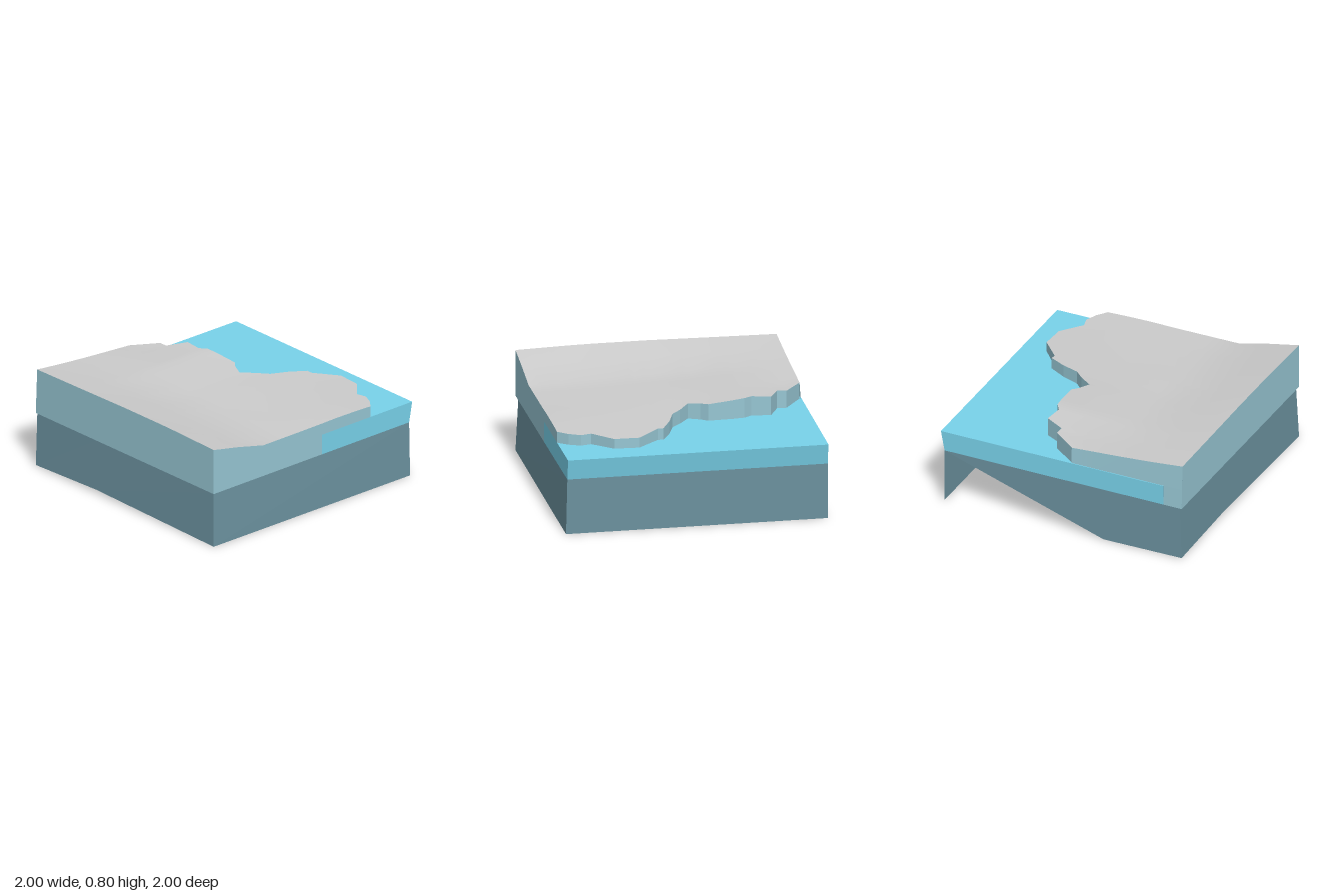
import * as THREE from 'three';

const GREY = 0xcccccc, CLIFF = 0x97c6d3, WATER = 0x78d2ea, BASE = 0x6b919e;
const SEA = 0.59, BED = 0.43;

// Coast outline seen from above: x, z
const SHORE = [
  [-0.985, 0.08], [-0.85, -0.11], [-0.78, -0.105], [-0.705, -0.255], [-0.56, -0.235],
  [-0.5, -0.275], [-0.42, -0.285], [-0.22, -0.295], [-0.17, -0.255], [-0.08, -0.215],
  [0, -0.32], [0.07, -0.39], [0.12, -0.53], [0.19, -0.66], [0.23, -0.655], [0.4, -0.805],
  [0.59, -0.795], [0.74, -0.66], [0.82, -0.68], [0.91, -0.64], [0.985, -0.58],
];

// Ground heights on a coarse grid, back to front
const GX = [-1, -0.5, 0, 0.5, 1];
const GZ = [-0.8, -0.3, 0, 0.5, 0.75, 1];
const GY = [
  [0.7, 0.72, 0.68, 0.665, 0.67],
  [0.73, 0.745, 0.7, 0.69, 0.685],
  [0.71, 0.74, 0.71, 0.69, 0.68],
  [0.745, 0.735, 0.71, 0.7, 0.68],
  [0.765, 0.765, 0.76, 0.75, 0.74],
  [0.79, 0.796, 0.803, 0.803, 0.79],
];

function locate(list, v) {
  let i = 0;
  while (i < list.length - 2 && v > list[i + 1]) i++;
  return [i, THREE.MathUtils.clamp((v - list[i]) / (list[i + 1] - list[i]), 0, 1)];
}

function height(x, z) {
  const [i, u] = locate(GX, x), [j, v] = locate(GZ, z);
  const row = (r) => THREE.MathUtils.lerp(r[i], r[i + 1], u);
  return THREE.MathUtils.lerp(row(GY[j]), row(GY[j + 1]), v);
}

// Surface through rows of points, listed top to bottom and left to right from outside
function surface(name, color, rows, flat = true) {
  const n = rows[0].length, index = [];
  for (let i = 0; i < rows.length - 1; i++) {
    for (let j = 0; j < n - 1; j++) {
      const a = i * n + j, c = a + n;
      index.push(a, c, a + 1, a + 1, c, c + 1);
    }
  }
  const geo = new THREE.BufferGeometry();
  geo.setAttribute('position', new THREE.Float32BufferAttribute(rows.flat(2), 3));
  geo.setIndex(index);
  geo.computeVertexNormals();
  const mesh = new THREE.Mesh(geo, new THREE.MeshStandardMaterial({
    color, flatShading: flat, side: THREE.DoubleSide,
  }));
  mesh.name = name;
  return mesh;
}

const dropTo = (points, y) => points.map(([x, , z]) => [x, y, z]);

function createLand() {
  const land = new THREE.Group();
  land.name = 'land';

  // Each column of the ground runs from the coast to the front edge
  const columns = SHORE.map(([x, z], i) => {
    const zs = [0, 0.2, 0.4, 0.6, 0.8, 1].map((t) => THREE.MathUtils.lerp(z, 0.3, t));
    zs.push(0.5, 0.75, 1);
    return zs.map((cz) => {
      const cx = i === SHORE.length - 1 ? 0.99 + 0.01 * cz : x;
      return [cx, height(cx, cz), cz];
    });
  });
  const rows = columns[0].map((_, r) => columns.map((c) => c[r]));
  land.add(surface('ground', GREY, rows, false));

  // Coast cliff, seen from the back
  const coast = [...rows[0]].reverse();
  land.add(surface('coastCliff', CLIFF, [coast, dropTo(coast, SEA)]));

  // Cut faces at the front and sides
  const front = rows[rows.length - 1];
  const frontFoot = front.map(([x], i) => [i === 0 ? -1 : x, BED, 1]);
  land.add(surface('frontCut', CLIFF, [front, frontFoot]));
  const left = columns[0];
  const leftFoot = left.map(([, , z]) => [-0.994, SEA, z]);
  land.add(surface('leftCut', CLIFF, [left, leftFoot]));
  land.add(surface('leftLowerCut', CLIFF, [
    [[-0.994, SEA, 0.85], [-0.994, SEA, 1]], [[-1, BED, 0.85], [-1, BED, 1]],
  ]));
  const right = [...columns[columns.length - 1]].reverse();
  land.add(surface('rightCut', CLIFF, [right, dropTo(right, SEA)]));
  land.add(surface('rightLowerCut', CLIFF, [
    [[1, SEA, 1], [0.989, SEA, -0.09]], [[1, BED, 1], [0.989, BED, -0.09]],
  ]));
  return land;
}

function createWater() {
  const water = new THREE.Group();
  water.name = 'water';
  const back = [[0.98, SEA, -1], [-1, SEA, -1]];
  const backFoot = [[0.98, BED, -0.97], [-1, BED, -0.97]];
  const rightEnd = [0.989, SEA, -0.09], leftEnd = [-1, SEA, 0.85];
  water.add(
    surface('waterSurface', WATER, [[back[1], back[0]], [leftEnd, rightEnd]]),
    surface('waterBack', WATER, [back, backFoot]),
    surface('waterRight', WATER, [[rightEnd, back[0]], [[0.989, BED, -0.09], backFoot[0]]]),
    surface('waterLeft', WATER, [[back[1], leftEnd], [backFoot[1], [-1, BED, 0.85]]]),
  );
  return water;
}

// Hollow base: four skirts and the bed above them, open at the bottom
function createBase() {
  const base = new THREE.Group();
  base.name = 'base';
  const bl = [-1, BED, -0.97], br = [0.98, BED, -0.97];
  const fl = [-1, BED, 0.985], fr = [0.98, BED, 0.985];
  base.add(
    surface('bed', BASE, [[fl, fr], [bl, br]]),
    surface('frontSkirt', BASE, [
      [fl, [-0.32, BED, 0.985], fr],
      [[-1, 0.005, 1], [-0.32, 0.028, 1], [1, 0, 1]],
    ]),
    surface('rightSkirt', BASE, [[fr, br], [[1, 0, 1], [0.99, 0, -0.97]]]),
    surface('backSkirt', BASE, [[br, bl], [[0.99, 0, -0.97], [-1, 0, -0.97]]]),
    // The left skirt tapers away towards the back
    surface('leftSkirt', BASE, [
      [bl, [-1, BED, 0.35], fl],
      [bl, [-1, 0, 0.35], [-1, 0.005, 1]],
    ]),
  );
  return base;
}

export function createModel() {
  const model = new THREE.Group();
  model.name = 'coastalTerrain';
  model.add(createLand(), createWater(), createBase());
  return model;
}
